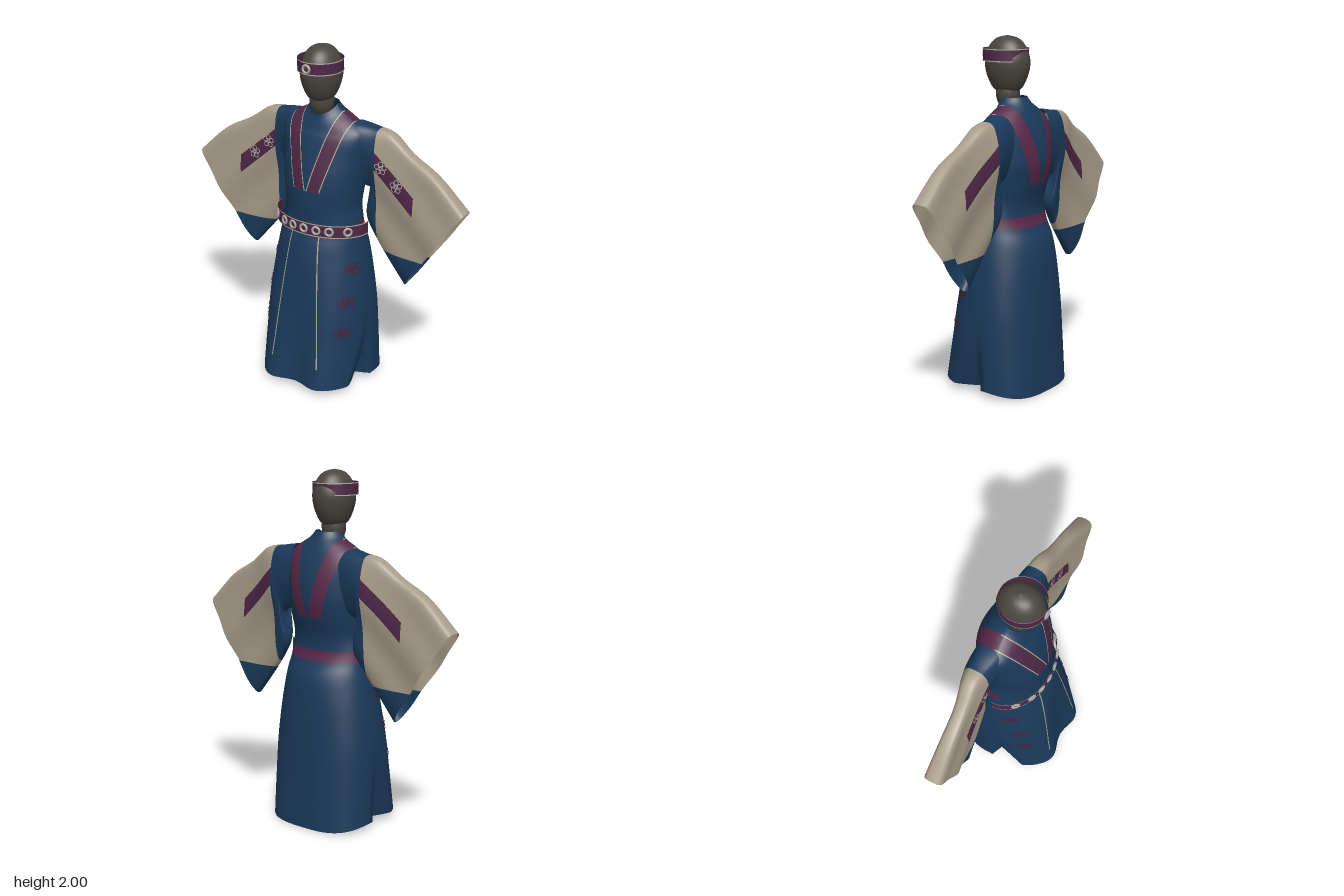
import * as THREE from 'three';
import { mergeGeometries } from 'three/addons/utils/BufferGeometryUtils.js';

const mat = (name, color, side = THREE.DoubleSide) => {
  const m = new THREE.MeshStandardMaterial({ color, side });
  m.name = name;
  return m;
};
const clamp = (v) => Math.min(1, Math.max(0, v));
const signedPow = (v, e) => Math.sign(v) * Math.abs(v) ** e;

// Closed rings joined into a smooth skin, returned as a list of polygons [x,y,z,nx,ny,nz]
function loft(rows, cols, point) {
  const pos = [], index = [];
  for (let i = 0; i <= rows; i++) {
    for (let j = 0; j < cols; j++) {
      pos.push(...point(i / rows, (j / cols) * Math.PI * 2));
      if (i === rows) continue;
      const a = i * cols + j, b = i * cols + ((j + 1) % cols);
      index.push(a, b, b + cols, a, b + cols, a + cols);
    }
  }
  const g = new THREE.BufferGeometry();
  g.setAttribute('position', new THREE.Float32BufferAttribute(pos, 3));
  g.setIndex(index);
  g.computeVertexNormals();
  const n = g.attributes.normal.array, polys = [];
  const vert = (k) => [...pos.slice(k * 3, k * 3 + 3), ...n.slice(k * 3, k * 3 + 3)];
  for (let i = 0; i < index.length; i += 3) polys.push(index.slice(i, i + 3).map(vert));
  return polys;
}

// Part of a polygon where dist >= 0 (sign 1) or <= 0 (sign -1)
function clip(poly, dist, sign) {
  const out = [];
  poly.forEach((a, i) => {
    const b = poly[(i + 1) % poly.length];
    const da = sign * dist(a), db = sign * dist(b);
    if (da >= 0) out.push(a);
    if ((da > 0 && db < 0) || (da < 0 && db > 0)) out.push(a.map((v, k) => v + (b[k] - v) * (da / (da - db))));
  });
  return out;
}

// Cuts cloth into the pieces inside all the planes and the pieces left over
function split(polys, planes) {
  const inside = [], outside = [];
  for (let poly of polys) {
    for (const d of planes) {
      const rest = clip(poly, d, -1);
      if (rest.length > 2) outside.push(rest);
      poly = clip(poly, d, 1);
      if (poly.length < 3) break;
    }
    if (poly.length > 2) inside.push(poly);
  }
  return [inside, outside];
}

function toGeometry(polys) {
  const pos = [], nor = [];
  for (const p of polys) for (let i = 1; i < p.length - 1; i++) for (const v of [p[0], p[i], p[i + 1]]) {
    pos.push(v[0], v[1], v[2]);
    nor.push(v[3], v[4], v[5]);
  }
  const g = new THREE.BufferGeometry();
  g.setAttribute('position', new THREE.Float32BufferAttribute(pos, 3));
  g.setAttribute('normal', new THREE.Float32BufferAttribute(nor, 3));
  return g;
}

// Signed distance to a line in x, y; positive on its left. k mirrors x.
const line = (x1, y1, x2, y2, k = 1) => {
  const dx = x2 - x1, dy = y2 - y1, l = Math.hypot(dx, dy);
  return (p) => (dx * (p[1] - y1) - dy * (k * p[0] - x1)) / l;
};
const bandOuter = (k) => line(0.085, 1.2, 0.195, 1.59, k);
const curve = (pts) => new THREE.CatmullRomCurve3(pts.map((p) => new THREE.Vector3(...p)), false, 'catmullrom', 0.5);

// Robe profile: height, half width, front z, back z
const PROFILE = [
  [1.665, 0.078, 0.03, -0.13], [1.63, 0.11, 0.035, -0.15], [1.59, 0.18, 0.045, -0.175], [1.54, 0.25, 0.06, -0.2],
  [1.48, 0.265, 0.085, -0.225], [1.4, 0.255, 0.11, -0.245], [1.3, 0.25, 0.135, -0.25], [1.2, 0.24, 0.15, -0.23],
  [1.1, 0.23, 0.152, -0.2], [1.02, 0.24, 0.15, -0.195], [0.95, 0.25, 0.157, -0.215], [0.87, 0.265, 0.182, -0.255],
  [0.75, 0.285, 0.205, -0.275], [0.5, 0.312, 0.235, -0.283], [0.25, 0.318, 0.26, -0.288], [0, 0.318, 0.285, -0.295],
];
// Sleeve sections: top x, top y, middle z, bottom x, bottom y, half thickness
const SLEEVE = [
  [0.1, 1.58, -0.075, 0.14, 1.24, 0.12], [0.2, 1.58, -0.085, 0.23, 1.215, 0.112], [0.3, 1.565, -0.098, 0.285, 1.18, 0.096],
  [0.41, 1.545, -0.1, 0.25, 1.03, 0.087], [0.54, 1.455, -0.088, 0.31, 0.92, 0.072], [0.71, 1.36, -0.08, 0.405, 0.8, 0.069],
  [0.885, 1.2, -0.078, 0.515, 0.67, 0.078],
];

function robePolys() {
  const widths = curve(PROFILE.map(([y, a]) => [a, y, 0]));
  const depths = curve(PROFILE.map(([y, , f, b]) => [f, y, b]));
  return loft(75, 120, (t, phi) => {
    const { x: a, y } = widths.getPoint(t), d = depths.getPoint(t);
    const c = Math.cos(phi), s = Math.sin(phi), w = clamp((0.8 - y) / 0.8), mid = -0.05;
    const e = 2 / (2 + w);
    // side slits: the front panel tucks inward behind the edge of the back panel
    const angle = Math.atan2(s, Math.abs(c)), open = clamp((0.55 - y) / 0.55);
    const tuck = angle > 0.03 ? clamp((0.03 + 0.47 * open - angle) / 0.47) : 0;
    const pinch = 1 - 0.28 * tuck * open;
    const x = a * signedPow(c, e) * pinch;
    let z = mid + (s > 0 ? d.x - mid : mid - d.z) * signedPow(s, e) * pinch;
    z -= w * 0.022 * Math.max(s, 0) * Math.cos((x * Math.PI * 2) / 0.34);
    const collarDip = 0.05 * clamp((y - 1.5) / 0.16) * Math.max(s, 0);
    const hemRise = (0.005 + 0.038 * clamp(1 + s)) * clamp(1 - y / 0.3);
    return [x, y - collarDip + hemRise, z];
  });
}

function sleevePolys() {
  const tops = curve(SLEEVE.map((r) => r.slice(0, 3)));
  const bottoms = curve(SLEEVE.map((r) => r.slice(3)));
  return loft(42, 48, (t, phi) => {
    const a = tops.getPoint(t), b = bottoms.getPoint(t), f = (1 - Math.cos(phi)) / 2;
    const x = a.x + (b.x - a.x) * f, y = a.y + (b.y - a.y) * f;
    const s = signedPow(Math.sin(phi), 0.75 - 0.25 * t);
    const wrinkle = 0.008 * Math.sin(15 * x + 16 * y) * s * clamp(t * 3 - 0.4);
    return [x, y, a.z - 0.018 * f + b.z * (1 - 0.4 * f) * s + wrinkle];
  });
}

// Outline blossom laid on cloth by casting every vertex against it
function blossom(targets, x, y, dir, width, height) {
  const rings = [new THREE.RingGeometry(0.005, 0.01, 8)];
  for (let i = 0; i < 5; i++) {
    const a = Math.PI / 2 + (i * Math.PI * 2) / 5;
    rings.push(new THREE.RingGeometry(0.0105, 0.0155, 12).translate(0.024 * Math.cos(a), 0.024 * Math.sin(a), 0));
  }
  const g = mergeGeometries(rings).scale(width, height, 1);
  const ray = new THREE.Raycaster(), back = dir.clone().negate();
  ray.set(new THREE.Vector3(x, y, 1), new THREE.Vector3(0, 0, -1));
  const centre = ray.intersectObjects(targets)[0]?.point ?? new THREE.Vector3(x, y, 0);
  g.rotateY(Math.atan2(dir.x, dir.z)).translate(centre.x, centre.y, centre.z);
  const p = g.attributes.position, v = new THREE.Vector3();
  for (let i = 0; i < p.count; i++) {
    v.fromBufferAttribute(p, i);
    ray.set(v.clone().add(dir), back);
    const hit = ray.intersectObjects(targets)[0];
    if (hit) v.copy(hit.point);
    v.addScaledVector(dir, 0.004);
    p.setXYZ(i, v.x, v.y, v.z);
  }
  g.computeVertexNormals();
  return g;
}

export function createModel() {
  const root = new THREE.Group();
  root.name = 'robedFigure';
  const blue = mat('robe blue', 0x1b3a5b), tan = mat('sleeve tan', 0xa79c88), purple = mat('band purple', 0x4e2746);
  const maroon = mat('back band maroon', 0x582748), cream = mat('piping cream', 0xaea28a), red = mat('blossom red', 0x501a31);
  const silver = mat('silver', 0xaeaba2), grey = mat('mannequin grey', 0x4a453f, THREE.FrontSide);
  const add = (name, geometry, material) => {
    const m = new THREE.Mesh(geometry, material);
    m.name = name;
    root.add(m);
    return m;
  };

  // Robe, cut into cloth, chest bands, rear belt and piping
  let cloth = robePolys(), piece;
  const bands = [], backBands = [], piping = [];
  const isFront = (p) => p[2] + 0.07;
  for (const k of [1, -1]) {
    const outer = bandOuter(k), inner = line(0.105, 1.6, 0.003, 1.2, k);
    [piece, cloth] = split(cloth, [outer, inner, (p) => p[1] - 1.2, (p) => k * p[0]]);
    const [front, back] = split(piece, [isFront]);
    const [core, edges] = split(front, [(p) => outer(p) - 0.006, (p) => inner(p) - 0.006]);
    bands.push(...core);
    piping.push(...edges);
    backBands.push(...back);
    const seam = line(0.155, 0.17, 0.088, 0.95, k);
    [piece, cloth] = split(cloth, [(p) => 0.0035 - seam(p), (p) => seam(p) + 0.0035, (p) => p[1] - 0.17, (p) => 0.95 - p[1], isFront]);
    piping.push(...piece);
  }
  [piece, cloth] = split(cloth, [(p) => p[1] - 0.955, (p) => 1.015 - p[1], (p) => -0.03 - p[2]]);
  backBands.push(...piece);
  const robe = add('robe', toGeometry(cloth), blue);
  add('chestBands', toGeometry(bands), purple);
  add('backBands', toGeometry(backBands), maroon);
  add('robePiping', toGeometry(piping), cream);

  // Wide sleeves with a slanted stripe and a dipped blue corner, trimmed where they meet the chest bands
  const left = sleevePolys();
  for (const k of [1, -1]) {
    const side = k > 0 ? 'left' : 'right';
    const polys = k > 0 ? left : left.map((q) => q.map(([x, y, z, nx, ny, nz]) => [-x, y, z, -nx, ny, nz]).reverse());
    const [outerCloth, innerCloth] = split(polys, [(p) => k * p[0] - 0.33, (p) => p[1] - 0.85]);
    const [stripe, plain] = split(outerCloth, [line(0.58, 1.23, 0.33, 1.44, k), line(0.33, 1.34, 0.58, 1.12, k), (p) => 0.58 - k * p[0]]);
    add(side + 'SleeveBlue', toGeometry(split(innerCloth, [bandOuter(k)])[1]), blue);
    const targets = [add(side + 'Sleeve', toGeometry(plain), tan), add(side + 'SleeveStripe', toGeometry(stripe), purple)];
    for (const [x, y] of [[0.375, 1.36], [0.475, 1.275]])
      add(side + 'SleeveBlossom', blossom(targets, k * x, y, new THREE.Vector3(0, 0, 1), 1, 1), silver);
    for (const y of [0.76, 0.57, 0.39])
      add(side + 'SkirtBlossom', blossom([robe], k * 0.257, y, new THREE.Vector3(k * 0.75, 0, 0.66).normalize(), 1.5, 0.95), red);
  }

  // Belt across the front with trims and ring studs
  const strip = (rx, rz, h, y, z, start, length) =>
    new THREE.CylinderGeometry(1, 1, h, 48, 1, true, start, length).scale(rx, 1, rz).translate(0, y, z);
  add('belt', strip(0.29, 0.21, 0.075, 0.983, -0.045, -Math.PI / 2, Math.PI), purple);
  for (const y of [0.948, 1.018]) add('beltTrim', strip(0.292, 0.212, 0.007, y, -0.045, -Math.PI / 2, Math.PI), cream);
  for (const t of [-0.95, -0.54, -0.27, 0, 0.27, 0.54, 0.95]) {
    const stud = add('beltStud', new THREE.TorusGeometry(0.021, 0.007, 8, 20), silver);
    stud.position.set(0.291 * Math.sin(t), 0.983, -0.045 + 0.211 * Math.cos(t));
    stud.rotation.y = Math.atan2(Math.sin(t) / 0.29, Math.cos(t) / 0.21);
  }

  // Egg-shaped head and neck
  const egg = [[0, 1.688], [0.045, 1.692], [0.074, 1.715], [0.098, 1.77], [0.111, 1.83], [0.109, 1.885], [0.088, 1.945], [0.052, 1.985], [0, 2]];
  const outline = new THREE.SplineCurve(egg.map((p) => new THREE.Vector2(...p))).getPoints(32);
  outline.forEach((p) => { p.x = Math.max(p.x, 0); });
  add('head', new THREE.LatheGeometry(outline, 40).scale(1, 1, 1.18).translate(0, 0, -0.013), grey);
  add('neck', new THREE.SphereGeometry(1, 28, 20).scale(0.07, 0.095, 0.066).translate(0, 1.685, -0.016), grey);

  // Headband with trims and a ring ornament
  add('headband', strip(0.124, 0.129, 0.068, 1.895, -0.003, 0, Math.PI * 2), purple);
  for (const y of [1.863, 1.927]) add('headbandTrim', strip(0.126, 0.131, 0.006, y, -0.003, 0, Math.PI * 2), silver);
  add('headbandRing', new THREE.TorusGeometry(0.021, 0.007, 8, 24).translate(0, 1.895, 0.135), silver);
  add('headbandGem', new THREE.SphereGeometry(0.016, 16, 10).scale(1, 1, 0.5).translate(0, 1.895, 0.131), grey);
  return root;
}
